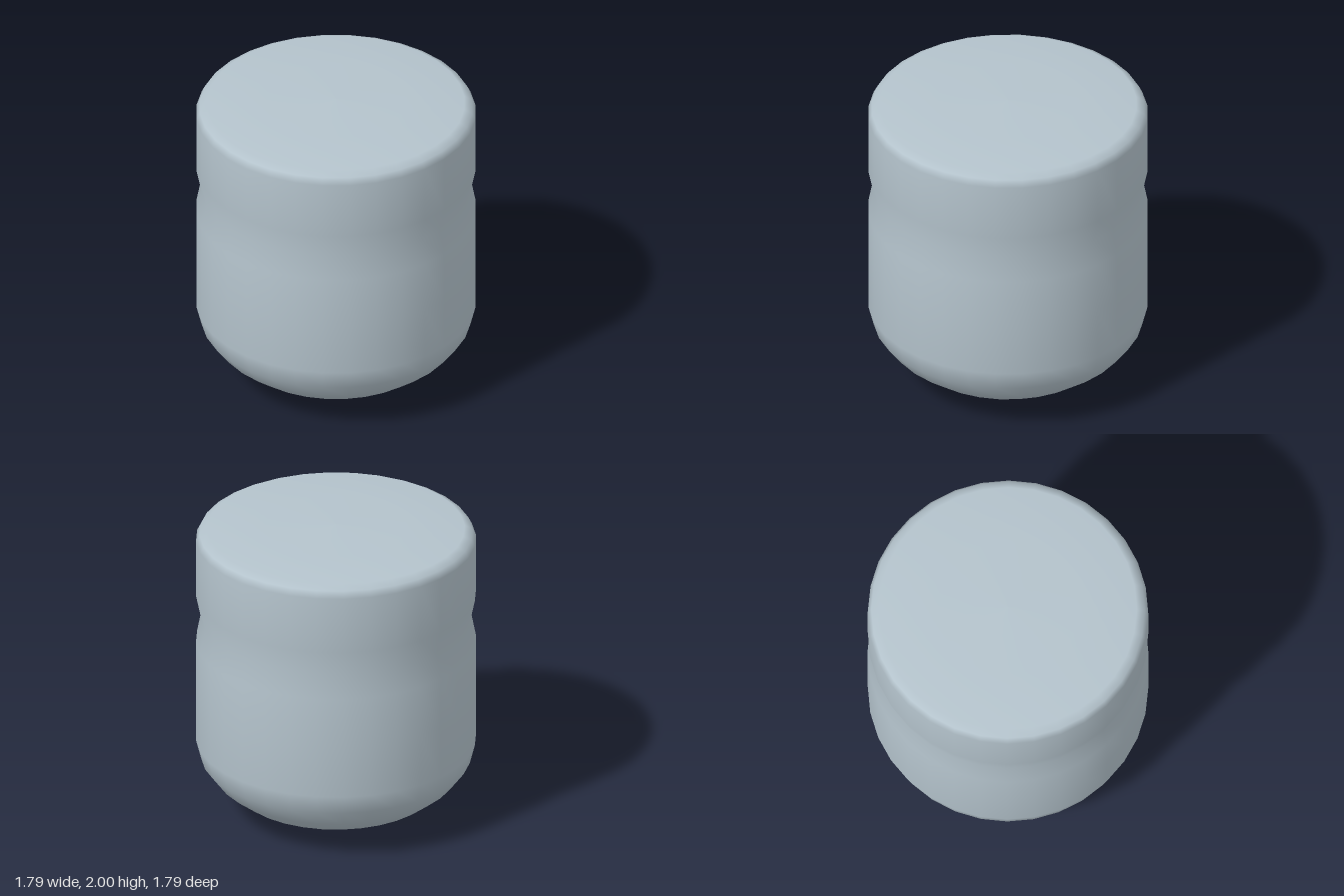
import * as THREE from 'three';

export function createModel() {
  const group = new THREE.Group();
  group.name = 'roundedCanister';

  const paleSteel = new THREE.MeshStandardMaterial({ color: 0xb4c3cc });
  paleSteel.name = 'paleSteel';

  // Profile from the bowl-shaped base, past the waist groove, to the slightly domed top
  const profile = [
    [0, 0], [0.22, 0.02], [0.45, 0.07], [0.64, 0.15], [0.77, 0.25], [0.86, 0.37],
    [0.893, 0.5], [0.893, 0.85], [0.893, 1.19], [0.86, 1.36], [0.893, 1.52],
    [0.893, 1.9], [0.87, 1.945], [0.82, 1.972], [0.45, 1.99], [0, 2],
  ].map(([r, y]) => new THREE.Vector2(r, y));

  const body = new THREE.Mesh(new THREE.LatheGeometry(profile, 32), paleSteel);
  body.name = 'canisterBody';
  group.add(body);

  return group;
}
